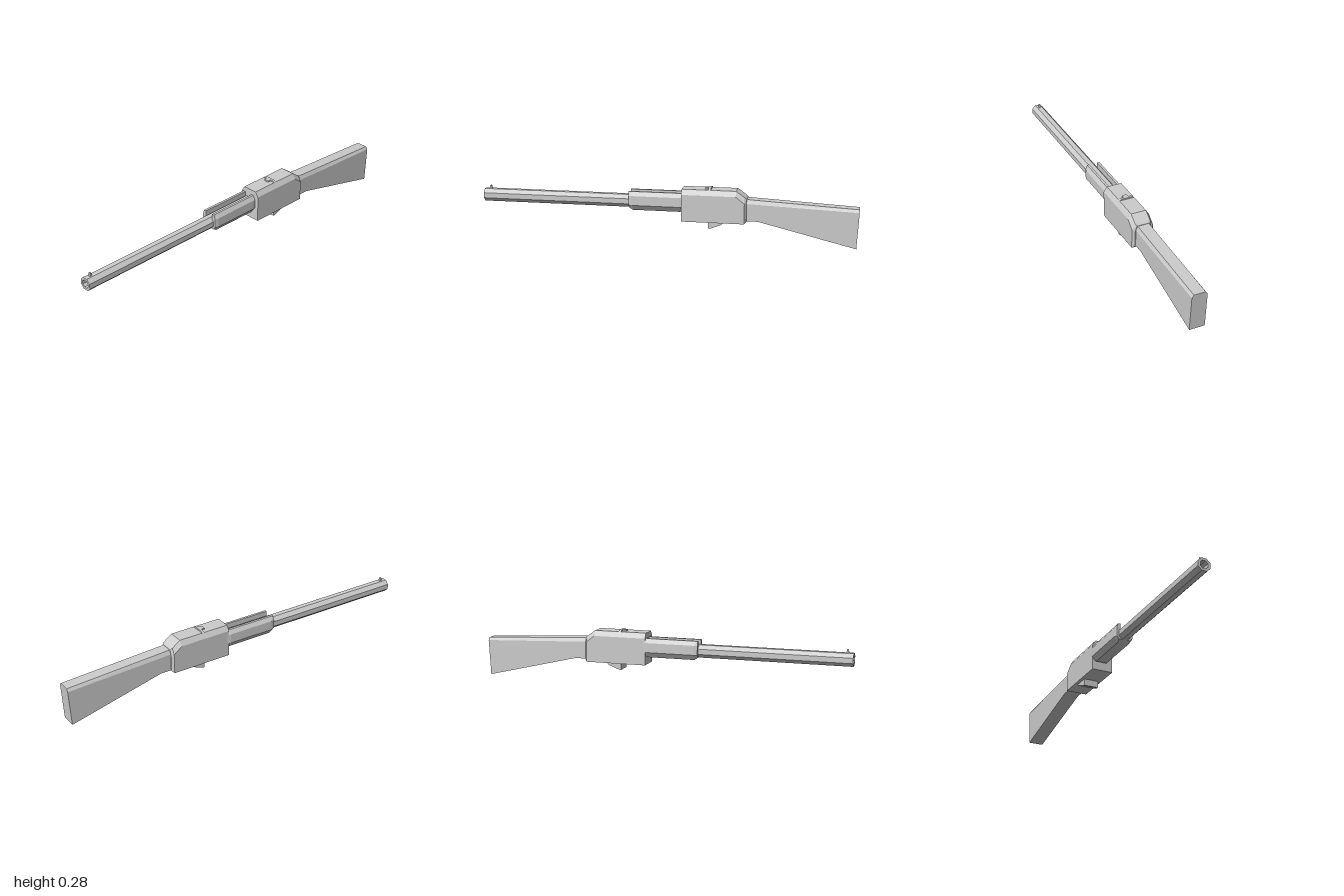
import * as THREE from 'three';

const material = new THREE.MeshStandardMaterial({ color: 0xcccccc, flatShading: true });

// Solid along x through sections { x, ring }, each ring being [z, y] corners,
// counter-clockwise with z to the right and y up.
function loft(sections) {
  const pos = [];
  const put = (s, i) => pos.push(s.x, s.ring[i][1], s.ring[i][0]);
  const n = sections[0].ring.length;
  for (let k = 0; k < sections.length - 1; k++) {
    const s = sections[k], t = sections[k + 1];
    for (let i = 0; i < n; i++) {
      const j = (i + 1) % n;
      put(s, i); put(t, i); put(t, j);
      put(s, i); put(t, j); put(s, j);
    }
  }
  const cap = (s, flip) => {
    const contour = s.ring.map(([z, y]) => new THREE.Vector2(z, y));
    for (const [a, b, c] of THREE.ShapeUtils.triangulateShape(contour, [])) {
      for (const i of flip ? [c, b, a] : [a, b, c]) put(s, i);
    }
  };
  cap(sections[0], false);
  cap(sections[sections.length - 1], true);
  const geo = new THREE.BufferGeometry();
  geo.setAttribute('position', new THREE.Float32BufferAttribute(pos, 3));
  geo.computeVertexNormals();
  return geo;
}

// Block section with its two top corners cut off
const block = (x, half, topHalf, bottom, shoulder, top, zc = 0.002) => ({
  x,
  ring: [[-half, bottom], [half, bottom], [half, shoulder], [topHalf, top], [-topHalf, top], [-half, shoulder]]
    .map(([z, y]) => [z + zc, y]),
});

// Open-topped channel section; inset pulls the underside and sides in
const channel = (x, inset) => {
  const w = 0.05 - inset * 0.4, b = 0.15 + inset;
  const right = [[0.03, b], [w, 0.178], [w, 0.228], [0.036, 0.25], [0.023, 0.25], [0.023, 0.19]];
  const left = right.map(([z, y]) => [-z, y]).reverse();
  return { x, ring: [...right, ...left].map(([z, y]) => [z - 0.01, y]) };
};

// Outline in x, y extruded across z
function plate(points, width, zc) {
  const shape = new THREE.Shape(points.map(([x, y]) => new THREE.Vector2(x, y)));
  return new THREE.ExtrudeGeometry(shape, { depth: width, bevelEnabled: false })
    .translate(0, 0, zc - width / 2);
}

export function createModel() {
  const group = new THREE.Group();
  const add = (name, geo) => {
    const mesh = new THREE.Mesh(geo, material);
    mesh.name = name;
    group.add(mesh);
  };

  // Eight-sided barrel with a blind bore
  const profile = [[0.036, 0], [0.036, 1.15], [0.022, 1.15], [0.022, 1.05], [0, 1.05]]
    .map(([r, y]) => new THREE.Vector2(r, y));
  add('barrel', new THREE.LatheGeometry(profile, 8, Math.PI / 8)
    .rotateZ(Math.PI / 2).translate(0.15, 0.195, -0.01));

  add('frontSight', plate([[-0.975, 0.225], [-0.96, 0.225], [-0.965, 0.246], [-0.972, 0.246]], 0.01, -0.01));

  // Forend cradling the barrel
  add('forend', loft([channel(-0.2, 0.013), channel(-0.18, 0), channel(0.075, 0), channel(0.1, 0.013)]));

  // Receiver, sloping down at the back
  add('receiver', loft([
    block(0.085, 0.058, 0.041, 0.108, 0.25, 0.277),
    block(0.37, 0.058, 0.041, 0.108, 0.25, 0.277),
    block(0.415, 0.058, 0.041, 0.108, 0.215, 0.245),
    block(0.425, 0.045, 0.035, 0.118, 0.207, 0.236),
  ]));

  // Notched rear sight
  add('rearSightLeaf', loft([
    block(0.225, 0.041, 0.029, 0.27, 0.277, 0.285),
    block(0.238, 0.041, 0.029, 0.27, 0.277, 0.285),
  ]));
  add('rearSightBlock', new THREE.BoxGeometry(0.022, 0.016, 0.027).translate(0.217, 0.277, 0.002));

  // Wedge under the receiver
  add('lowerWedge', plate([[0.225, 0.115], [0.225, 0.072], [0.235, 0.072], [0.295, 0.095], [0.315, 0.115]], 0.081, 0.002));

  // Stock, flaring down to a slightly raked butt
  const butt = block(1, 0.041, 0.031, 0.002, 0.19, 0.205);
  const stock = loft([
    block(0.41, 0.041, 0.031, 0.121, 0.213, 0.235),
    block(0.485, 0.041, 0.031, 0.121, 0.21, 0.231),
    butt,
  ]);
  const p = stock.attributes.position;
  for (let i = 0; i < p.count; i++) {
    if (p.getX(i) > 0.99 && p.getY(i) < 0.1) p.setXYZ(i, 0.99, 0, p.getZ(i));
  }
  stock.computeVertexNormals();
  add('stock', stock);

  return group;
}
